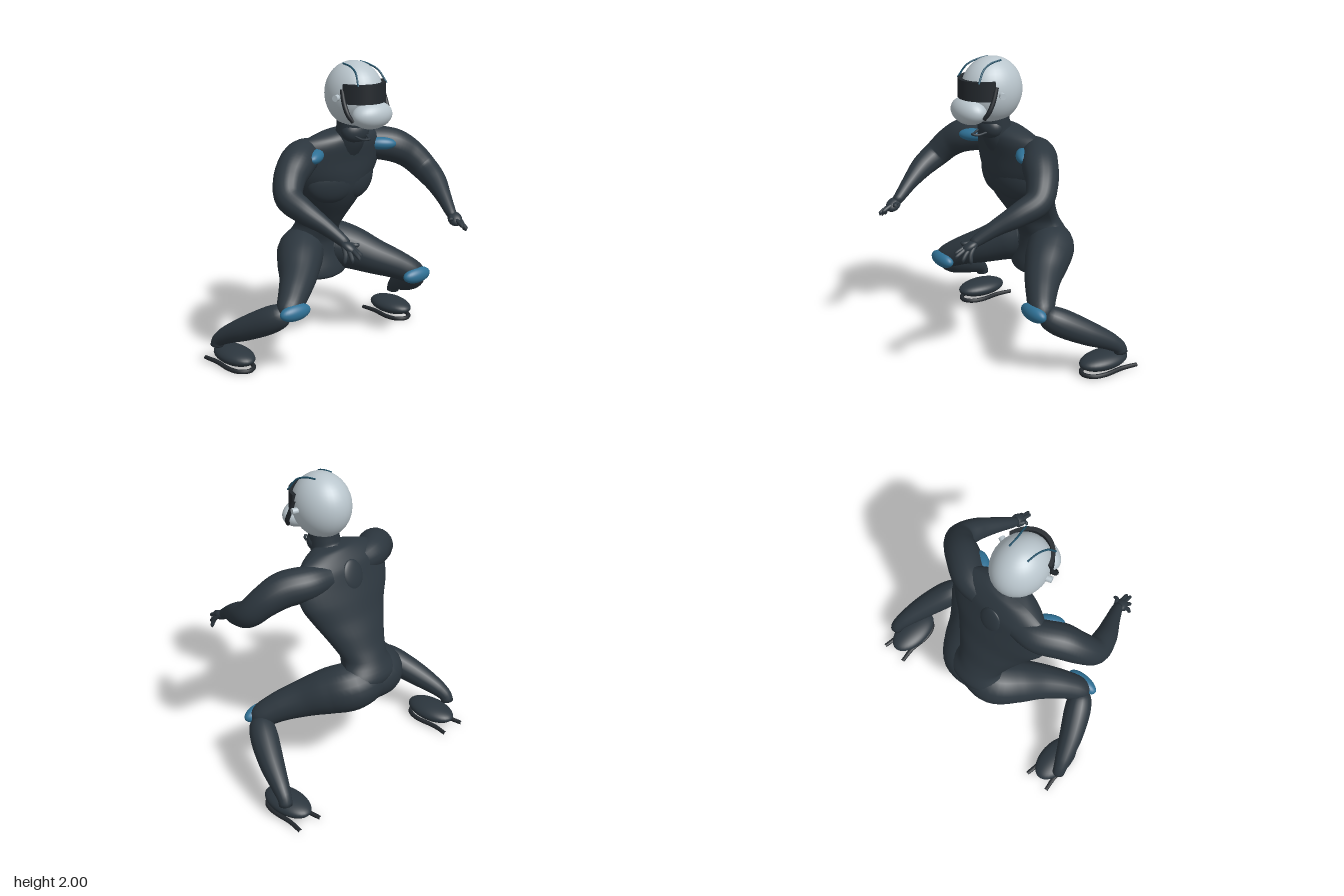
import * as THREE from 'three';
import { mergeVertices } from 'three/addons/utils/BufferGeometryUtils.js';

const mat = (name, color) => {
  const m = new THREE.MeshStandardMaterial({ color });
  m.name = name;
  return m;
};

const smooth = (geo) => {
  geo.deleteAttribute('uv');
  geo.deleteAttribute('normal');
  const g = mergeVertices(geo, 1e-5);
  g.computeVertexNormals();
  return g;
};

const V = (x, y, z) => new THREE.Vector3(x, y, z);

// Tube whose radius follows the fourth number of each [x, y, z, r] point
function limbGeometry(points, rings = 28, sides = 20) {
  const path = new THREE.CatmullRomCurve3(points.map((p) => V(p[0], p[1], p[2])));
  const radii = new THREE.CatmullRomCurve3(points.map((p) => V(p[3], 0, 0)), false, 'catmullrom');
  const geo = new THREE.TubeGeometry(path, rings, 1, sides);
  const pos = geo.attributes.position;
  const v = V(0, 0, 0);
  for (let i = 0; i <= rings; i++) {
    const c = path.getPointAt(i / rings);
    const r = Math.max(0.001, radii.getPoint(path.getUtoTmapping(i / rings)).x);
    for (let j = 0; j <= sides; j++) {
      const k = i * (sides + 1) + j;
      v.fromBufferAttribute(pos, k).sub(c).multiplyScalar(r).add(c);
      pos.setXYZ(k, v.x, v.y, v.z);
    }
  }
  return smooth(geo);
}

// Stack of horizontal sections, each [y, front z, back z, half width], top to bottom;
// the back is oval, the front is a slimmer parabola
function torsoGeometry(sections) {
  const rows = 56, sides = 40;
  const a = new THREE.CatmullRomCurve3(sections.map((s) => V(s[0], s[1], s[2])), false, 'catmullrom', 0.4);
  const b = new THREE.CatmullRomCurve3(sections.map((s) => V(s[3], 0, 0)), false, 'catmullrom', 0.4);
  const geo = new THREE.CylinderGeometry(1, 1, 1, sides, rows, true);
  const pos = geo.attributes.position;
  for (let k = 0; k < pos.count; k++) {
    const t = THREE.MathUtils.clamp(0.5 - pos.getY(k), 0, 1);
    const s = a.getPoint(t), w = b.getPoint(t).x;
    const mid = s.y * 0.42 + s.z * 0.58;
    const c = pos.getZ(k);
    pos.setXYZ(k, pos.getX(k) * w, s.x, c > 0 ? mid + c ** 1.7 * (s.y - mid) : mid + c * (mid - s.z));
  }
  return smooth(geo);
}

export function createModel() {
  const suit = mat('charcoal suit', 0x2c363e);
  const dark = mat('visor black', 0x23282d);
  const shell = mat('helmet silver', 0xb9c5cc);
  const blue = mat('pad blue', 0x2f7196);
  const trim = mat('stripe blue', 0x1f4f66);

  const model = new THREE.Group();
  model.name = 'crouchingSkater';
  const add = (name, geo, material) => {
    const mesh = new THREE.Mesh(geo, material);
    mesh.name = name;
    model.add(mesh);
    return mesh;
  };
  const ball = (name, material, c, r, rot = [0, 0, 0]) => {
    const mesh = add(name, new THREE.SphereGeometry(1, 32, 24), material);
    mesh.position.set(...c);
    mesh.scale.set(...r);
    mesh.rotation.set(...rot);
    return mesh;
  };
  const limb = (name, points, material = suit, rings, sides) =>
    add(name, limbGeometry(points, rings, sides), material);

  // Torso and neck
  add('torso', torsoGeometry([
    [1.555, -0.08, -0.13, 0.01], [1.545, -0.01, -0.17, 0.15], [1.505, 0.02, -0.21, 0.28],
    [1.45, 0.025, -0.25, 0.35], [1.36, 0.015, -0.285, 0.375], [1.26, 0.01, -0.325, 0.36],
    [1.15, -0.01, -0.365, 0.3], [1.05, -0.06, -0.41, 0.245], [0.95, -0.13, -0.45, 0.195],
    [0.86, -0.19, -0.495, 0.165], [0.76, -0.24, -0.54, 0.215], [0.66, -0.24, -0.505, 0.25],
    [0.56, -0.22, -0.42, 0.235], [0.5, -0.22, -0.37, 0.19], [0.48, -0.27, -0.33, 0.01],
  ]), suit);
  limb('neck', [[0, 1.42, -0.1, 0.12], [0, 1.51, -0.03, 0.1], [0, 1.58, -0.01, 0.098], [0, 1.68, 0, 0.1]]);
  ball('jaw', suit, [0, 1.55, 0.02], [0.1, 0.08, 0.075]);
  limb('lip', [[-0.045, 1.53, 0.08, 0.007], [-0.025, 1.515, 0.13, 0.008], [0, 1.52, 0.16, 0.008],
    [0.025, 1.515, 0.13, 0.008], [0.045, 1.53, 0.08, 0.007]], suit, 12, 8);
  ball('backPad', suit, [0, 1.4, -0.262], [0.078, 0.1, 0.022], [0.32, 0, 0]);

  // Helmet, chin guard and visor
  ball('helmet', shell, [0, 1.79, 0.012], [0.175, 0.21, 0.203]);
  ball('chinGuard', shell, [0, 1.68, 0.185], [0.147, 0.088, 0.094]);
  const band = new THREE.Shape();
  const from = -Math.PI / 2 - 1.25, to = -Math.PI / 2 + 1.25;
  band.absarc(0, 0, 1, from, to, false);
  band.absarc(0, 0, 0.87, to, from, true);
  const visorGeo = new THREE.ExtrudeGeometry(band, { depth: 0.122, bevelEnabled: false, curveSegments: 32 });
  visorGeo.rotateX(-Math.PI / 2);
  const visor = add('visor', visorGeo, dark);
  visor.scale.set(0.174, 1, 0.208);
  visor.position.set(0, 1.756, 0.029);

  for (const s of [1, -1]) {
    const side = s > 0 ? 'left' : 'right';
    const at = (pts) => pts.map(([x, ...rest]) => [x * s, ...rest]);

    // Helmet fittings
    limb(side + 'Strap', at([[0.162, 1.845, 0.085, 0.013], [0.169, 1.76, 0.115, 0.015],
      [0.163, 1.69, 0.148, 0.015], [0.14, 1.65, 0.166, 0.013]]), dark, 16, 10);
    limb(side + 'Stripe', at([[0.07, 1.985, -0.01, 0.006], [0.077, 1.974, 0.07, 0.006],
      [0.093, 1.945, 0.135, 0.006], [0.117, 1.868, 0.188, 0.006]]), trim, 20, 8);
    const bolt = add(side + 'Bolt', new THREE.CylinderGeometry(0.02, 0.02, 0.04, 20), shell);
    bolt.rotation.set(0, -0.35 * s, Math.PI / 2);
    bolt.position.set(0.182 * s, 1.79, 0.058);

    // Chest and arm
    ball(side + 'Chest', suit, [0.11 * s, 1.21, -0.085], [0.17, 0.14, 0.07], [0.08, 0.32 * s, 0]);
    limb(side + 'Arm', at([[0.14, 1.41, -0.18, 0.08], [0.28, 1.405, -0.145, 0.108], [0.41, 1.38, -0.065, 0.113],
      [0.51, 1.315, -0.005, 0.1], [0.572, 1.225, 0.07, 0.088], [0.555, 1.165, 0.19, 0.075],
      [0.5, 1.09, 0.33, 0.051], [0.455, 1.015, 0.445, 0.035], [0.45, 1.0, 0.47, 0.028], [0.45, 0.995, 0.48, 0.002]]), suit, 48);
    ball(side + 'Palm', suit, [0.45 * s, 0.985, 0.485], [0.045, 0.032, 0.058], [0.55, -0.3 * s, 0.5 * s]);
    const tips = [[0.388, 0.985, 0.5], [0.43, 0.945, 0.575], [0.452, 0.93, 0.588], [0.48, 0.912, 0.555], [0.508, 0.902, 0.515]];
    tips.forEach(([x, y, z], i) => {
      const root = 0.425 + i * 0.014;
      limb(side + 'Finger' + (i + 1), at([[root, 1.0, 0.47, 0.013],
        [(root + x) / 2, (1.005 + y) / 2, (0.5 + z) / 2, 0.014], [x, y + 0.01, z, 0.011], [x, y, z, 0.002]]), suit, 10, 8);
    });
    ball(side + 'ShoulderPad', blue, [0.277 * s, 1.417, -0.035], [0.1, 0.042, 0.048], [0, -0.62 * s, -0.05 * s]);

    // Leg
    limb(side + 'Thigh', at([[-0.02, 0.69, -0.4, 0.138], [0.12, 0.685, -0.382, 0.157], [0.22, 0.65, -0.285, 0.15],
      [0.33, 0.59, -0.165, 0.123], [0.45, 0.53, -0.06, 0.099], [0.54, 0.475, 0.005, 0.082],
      [0.59, 0.445, 0.02, 0.058], [0.62, 0.43, 0.025, 0.002]]), suit, 36);
    limb(side + 'Shin', at([[0.55, 0.47, 0.025, 0.002], [0.572, 0.445, -0.005, 0.068], [0.62, 0.395, -0.085, 0.09],
      [0.7, 0.31, -0.24, 0.08], [0.762, 0.228, -0.39, 0.056], [0.782, 0.18, -0.445, 0.044],
      [0.785, 0.14, -0.455, 0.04], [0.785, 0.132, -0.457, 0.002]]), suit, 36);
    ball(side + 'KneePad', blue, [0.53 * s, 0.466, 0.06], [0.115, 0.055, 0.052]);

    // Boot and looped runner
    ball(side + 'Boot', suit, [0.699 * s, 0.08, -0.383], [0.107, 0.057, 0.183]);
    limb(side + 'Runner', at([[0.79, 0.017, -0.59, 0.013], [0.775, 0.017, -0.48, 0.015], [0.78, 0.017, -0.33, 0.015],
      [0.755, 0.017, -0.25, 0.015], [0.697, 0.017, -0.218, 0.015], [0.64, 0.017, -0.25, 0.015],
      [0.615, 0.017, -0.33, 0.015], [0.628, 0.017, -0.48, 0.015], [0.615, 0.017, -0.59, 0.013]]), dark, 48, 10);
  }
  return model;
}
